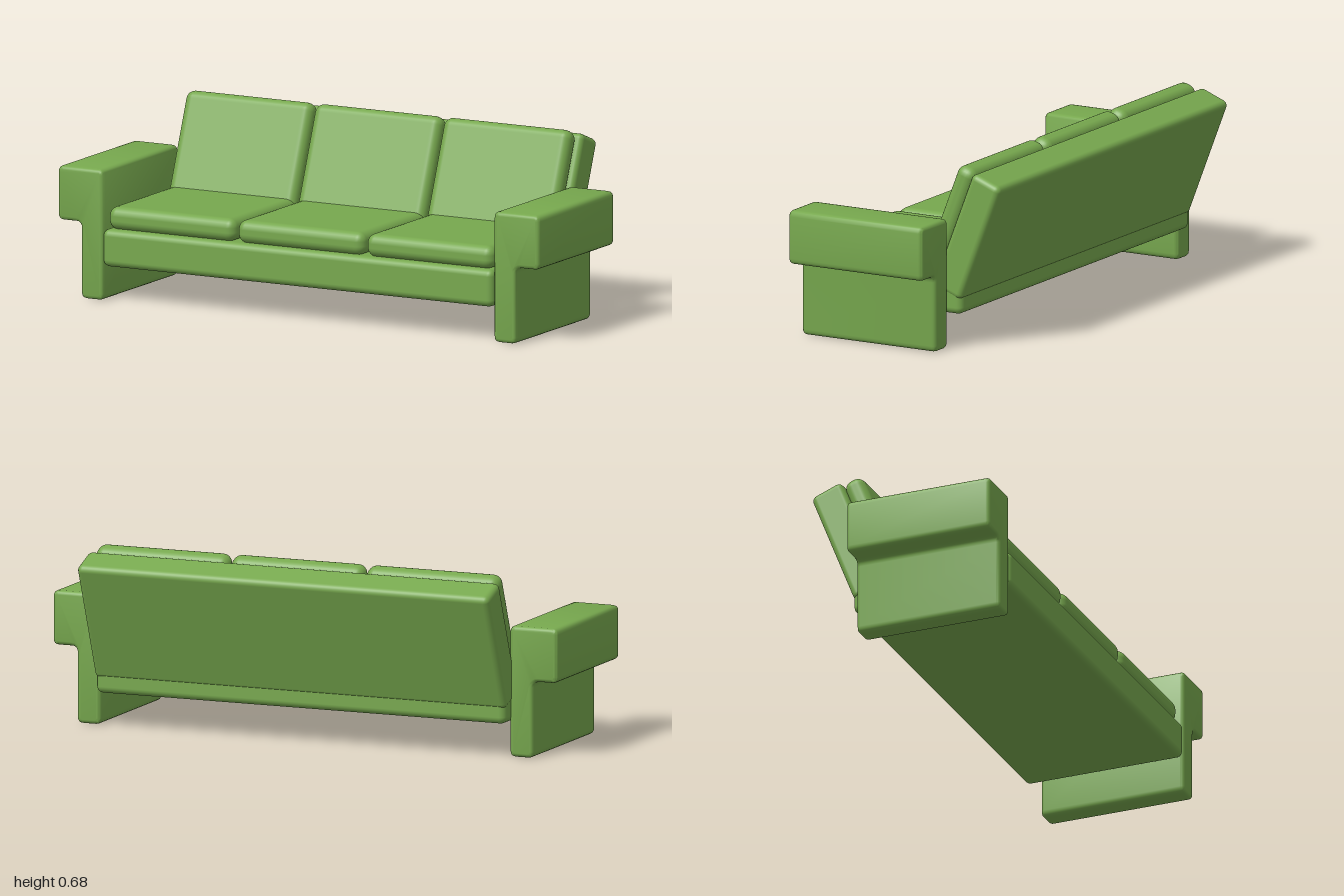
import * as THREE from 'three';
import { RoundedBoxGeometry } from 'three/addons/geometries/RoundedBoxGeometry.js';
import { toCreasedNormals } from 'three/addons/utils/BufferGeometryUtils.js';

const fabric = new THREE.MeshStandardMaterial({ color: 0x77a84e });
const CENTRE = -0.004; // the seat sits a touch to the right
const TILT = -0.371; // lean of the backrest

function softBox(name, w, h, d, radius) {
  const mesh = new THREE.Mesh(new RoundedBoxGeometry(w, h, d, 3, radius), fabric);
  mesh.name = name;
  return mesh;
}

// Closed outline with every corner rounded
function roundedOutline(points, r) {
  const shape = new THREE.Shape();
  const pts = points.map(([x, y]) => new THREE.Vector2(x, y));
  pts.forEach((p, i) => {
    const prev = pts[(i + pts.length - 1) % pts.length];
    const next = pts[(i + 1) % pts.length];
    const a = p.clone().add(prev.clone().sub(p).setLength(r));
    const b = p.clone().add(next.clone().sub(p).setLength(r));
    if (i === 0) shape.moveTo(a.x, a.y);
    else shape.lineTo(a.x, a.y);
    shape.quadraticCurveTo(p.x, p.y, b.x, b.y);
  });
  shape.closePath();
  return shape;
}

// Upright panel with an armrest overhanging to the outside
function makeArm(side) {
  const zBack = -0.177, zFront = 0.386, bevel = 0.014;
  const profile = [
    [0.812, 0], [0.904, 0], [0.904, 0.282], [1, 0.282], [1, 0.482], [0.812, 0.482],
  ].map(([x, y]) => [x * side, y]);
  const geometry = new THREE.ExtrudeGeometry(roundedOutline(profile, 0.022), {
    depth: zFront - zBack - 2 * bevel,
    bevelSize: bevel, bevelThickness: bevel, bevelOffset: -bevel, bevelSegments: 3,
    curveSegments: 4,
  });
  geometry.translate(0, 0, zBack + bevel);
  const arm = new THREE.Mesh(toCreasedNormals(geometry, 0.7), fabric);
  arm.name = side > 0 ? 'leftArm' : 'rightArm';
  return arm;
}

export function createModel() {
  const sofa = new THREE.Group();
  sofa.name = 'sofa';

  // Base under the seat
  const base = softBox('base', 1.624, 0.138, 0.62, 0.025);
  base.position.set(CENTRE, 0.195, 0.08);
  sofa.add(base);

  // Leaning backrest: y runs up the slope, z out of its front
  const backrest = new THREE.Group();
  backrest.name = 'backrest';
  backrest.rotation.x = TILT;
  const panel = softBox('backPanel', 1.632, 0.47, 0.127, 0.022);
  panel.position.set(CENTRE, 0.482, -0.0825);
  backrest.add(panel);
  sofa.add(backrest);

  // Three seat cushions and three back cushions
  for (let i = -1; i <= 1; i++) {
    const x = CENTRE + i * 0.536;
    const seat = softBox('seatCushion', 0.527, 0.085, 0.55, 0.034);
    seat.position.set(x, 0.303, 0.097);
    sofa.add(seat);

    const cushion = softBox('backCushion', 0.527, 0.435, 0.079, 0.034);
    cushion.position.set(x, 0.4975, 0.0155);
    backrest.add(cushion);
  }

  sofa.add(makeArm(1), makeArm(-1));
  return sofa;
}
